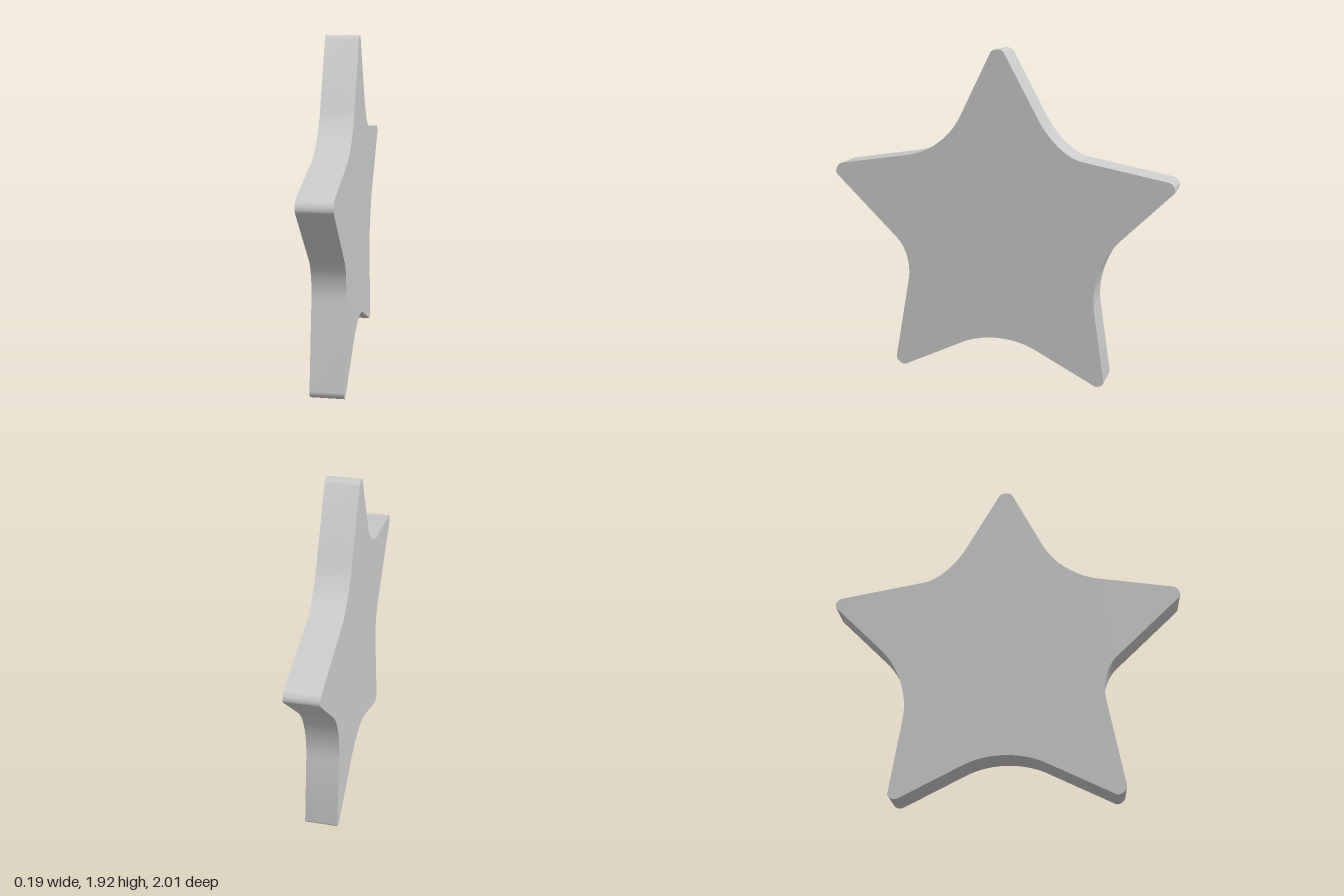
import * as THREE from 'three';
import { toCreasedNormals } from 'three/addons/utils/BufferGeometryUtils.js';

const THICKNESS = 0.19;

// Straight edges of the star as [z1, y1, z2, y2], going round from the top tip.
// The corners between them alternate: valley, tip, valley, tip...
const EDGES = [
  [-0.04, 1.895, -0.235, 1.54],
  [-0.49, 1.31, -0.973, 1.222],
  [-1.0, 1.16, -0.72, 0.88],
  [-0.576, 0.45, -0.64, 0.03],
  [-0.585, 0.0, -0.235, 0.178],
  [0.22, 0.18, 0.585, 0.0],
  [0.645, 0.05, 0.556, 0.54],
  [0.63, 0.8, 1.0, 1.157],
  [0.968, 1.228, 0.54, 1.298],
  [0.22, 1.535, 0.04, 1.895],
];

// Point where the lines through two edges meet
function meet(e, f) {
  const [dx, dy] = [e[2] - e[0], e[3] - e[1]];
  const [fx, fy] = [f[2] - f[0], f[3] - f[1]];
  const t = ((f[0] - e[0]) * fy - (f[1] - e[1]) * fx) / (dx * fy - dy * fx);
  return [e[0] + dx * t, e[1] + dy * t];
}

// Outline: straight edges joined by rounded valleys and tips
function starShape() {
  const shape = new THREE.Shape();
  shape.moveTo(EDGES[0][0], EDGES[0][1]);
  EDGES.forEach((e, i) => {
    const f = EDGES[(i + 1) % EDGES.length];
    const [cx, cy] = meet(e, f);
    const k = i % 2 === 0 ? 0.6 : 0.34;
    shape.lineTo(e[2], e[3]);
    shape.bezierCurveTo(
      e[2] + (cx - e[2]) * k, e[3] + (cy - e[3]) * k,
      f[0] + (cx - f[0]) * k, f[1] + (cy - f[1]) * k,
      f[0], f[1]
    );
  });
  return shape;
}

export function createModel() {
  const group = new THREE.Group();
  group.name = 'starPlate';

  // Flat plate, turned so its broad faces look along x
  const plate = new THREE.ExtrudeGeometry(starShape(), {
    depth: THICKNESS, bevelEnabled: false, curveSegments: 16,
  });
  plate.translate(0, 0, -THICKNESS / 2);
  plate.rotateY(-Math.PI / 2);

  const star = new THREE.Mesh(
    toCreasedNormals(plate, 0.5),
    new THREE.MeshStandardMaterial({ color: 0xcccccc })
  );
  star.name = 'star';
  group.add(star);
  return group;
}
